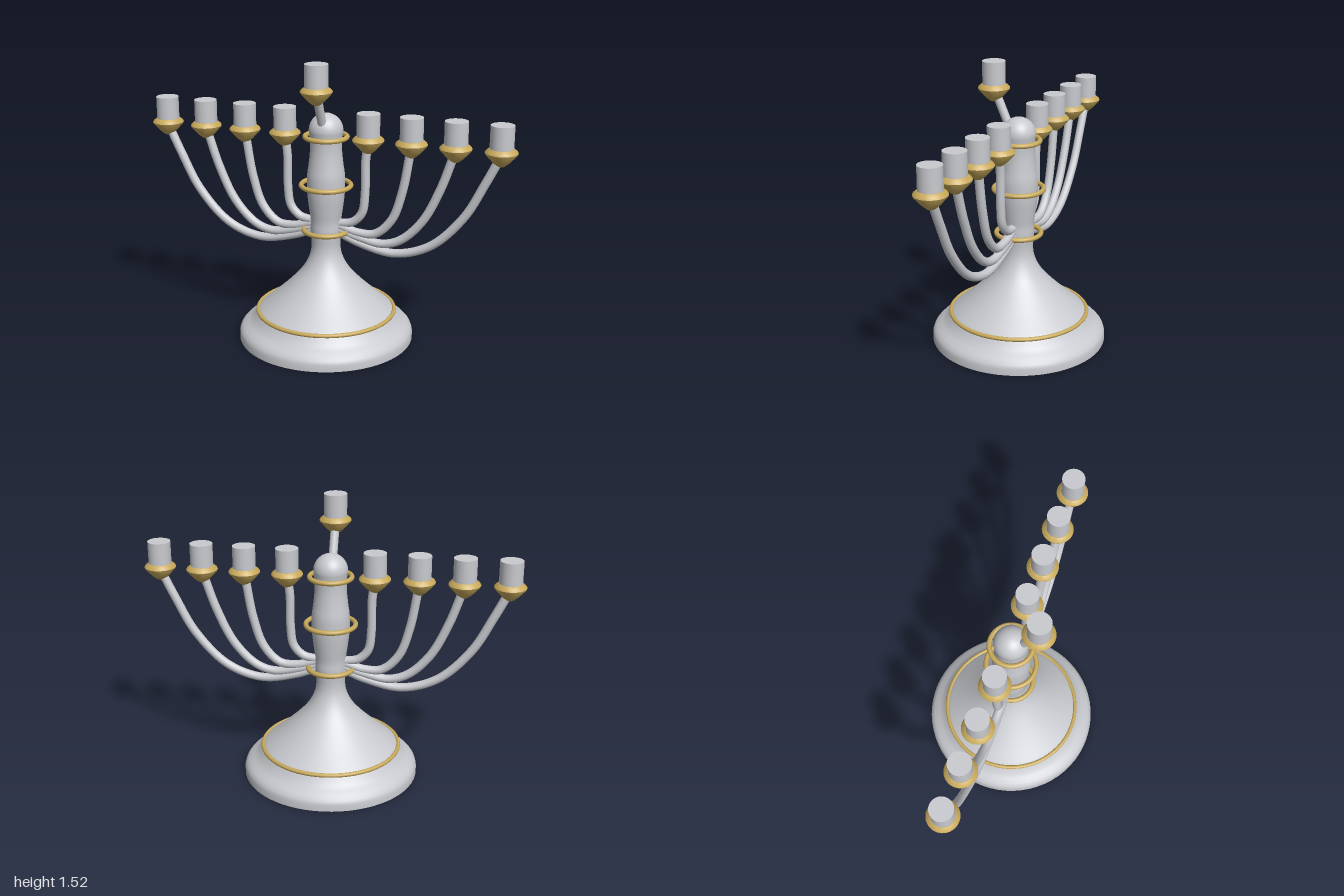
import * as THREE from 'three';
import { toCreasedNormals } from 'three/addons/utils/BufferGeometryUtils.js';

const silver = new THREE.MeshStandardMaterial({ color: 0xc8cacf, side: THREE.DoubleSide });
silver.name = 'silver';
const gold = new THREE.MeshStandardMaterial({ color: 0xc8aa5c });
gold.name = 'gold';

const v2 = (pts) => pts.map(([x, y]) => new THREE.Vector2(x, y));

function addMesh(parent, name, geometry, material) {
  const mesh = new THREE.Mesh(geometry, material);
  mesh.name = name;
  parent.add(mesh);
  return mesh;
}

// Cone-shaped gold holder with a silver candle cup; origin at the holder's rim top
function candleHolder(name, x, y, z) {
  const holder = new THREE.Group();
  holder.name = name;
  const profile = v2([[0, -0.092], [0.02, -0.09], [0.042, -0.072], [0.08, -0.03],
    [0.083, -0.022], [0.079, -0.014], [0.062, 0], [0, 0]]);
  addMesh(holder, 'holderCone', toCreasedNormals(new THREE.LatheGeometry(profile, 40), 0.5), gold);
  addMesh(holder, 'candleCup', new THREE.CylinderGeometry(0.06, 0.06, 0.13, 40), silver).position.y = 0.053;
  holder.position.set(x, y, z);
  return holder;
}

export function createModel() {
  const model = new THREE.Group();
  model.name = 'candelabrum';

  // Hollow foot, flared skirt and column, closed by a dome
  const foot = v2([[0.47, 0], [0.47, 0.035], [0.463, 0.055], [0.447, 0.073], [0.42, 0.09],
    [0.398, 0.108], [0.378, 0.135], [0.367, 0.155]]);
  const skirt = new THREE.SplineCurve(v2([[0.367, 0.155], [0.27, 0.237], [0.19, 0.313], [0.127, 0.385],
    [0.09, 0.455], [0.077, 0.52], [0.082, 0.605], [0.081, 0.66], [0.09, 0.73], [0.099, 0.81],
    [0.1, 0.9], [0.091, 0.97], [0.084, 1.04], [0.084, 1.1], [0.09, 1.15]])).getPoints(60).slice(1);
  const dome = [];
  for (let i = 1; i <= 10; i++) {
    const a = (i / 10) * Math.PI / 2;
    dome.push(new THREE.Vector2(Math.max(0, 0.09 * Math.cos(a)), 1.15 + 0.09 * Math.sin(a)));
  }
  addMesh(model, 'footAndColumn', new THREE.LatheGeometry([...foot, ...skirt, ...dome], 64), silver);

  // Gold rings: height, radius, thickness
  for (const [y, r, t] of [[0.155, 0.369, 0.011], [0.605, 0.119, 0.013], [0.853, 0.131, 0.013], [1.115, 0.11, 0.013]]) {
    const ring = addMesh(model, 'goldRing', new THREE.TorusGeometry(r, t, 12, 64), gold);
    ring.rotation.x = Math.PI / 2;
    ring.position.y = y;
  }

  // Curved arms from column to holder, mirrored on both sides
  const arms = [
    [[0.04, 0.65], [0.09, 0.652], [0.15, 0.666], [0.2, 0.72], [0.216, 0.83], [0.217, 1.0], [0.228, 1.09]],
    [[0.04, 0.645], [0.09, 0.632], [0.18, 0.609], [0.275, 0.615], [0.362, 0.7], [0.417, 0.86], [0.455, 1.08]],
    [[0.04, 0.625], [0.09, 0.61], [0.18, 0.584], [0.31, 0.563], [0.41, 0.595], [0.525, 0.71], [0.615, 0.89], [0.68, 1.08]],
    [[0.04, 0.61], [0.09, 0.59], [0.19, 0.552], [0.38, 0.519], [0.57, 0.582], [0.74, 0.755], [0.845, 0.95], [0.908, 1.08]],
  ];
  for (const side of [1, -1]) {
    const label = side > 0 ? 'left' : 'right';
    arms.forEach((pts, i) => {
      const path = new THREE.CatmullRomCurve3(pts.map(([x, y]) => new THREE.Vector3(side * x, y, 0)));
      addMesh(model, `${label}Arm${i + 1}`, new THREE.TubeGeometry(path, 48, 0.023, 14), silver);
      model.add(candleHolder(`${label}Holder${i + 1}`, side * (0.23 + 0.229 * i), 1.138, 0));
    });
  }

  // Raised central holder leaning forward on a short stem
  const stem = new THREE.LineCurve3(new THREE.Vector3(0, 1.15, 0.04), new THREE.Vector3(0, 1.35, 0.127));
  addMesh(model, 'centreStem', new THREE.TubeGeometry(stem, 1, 0.023, 14), silver);
  model.add(candleHolder('centreHolder', 0, 1.402, 0.14));

  return model;
}
